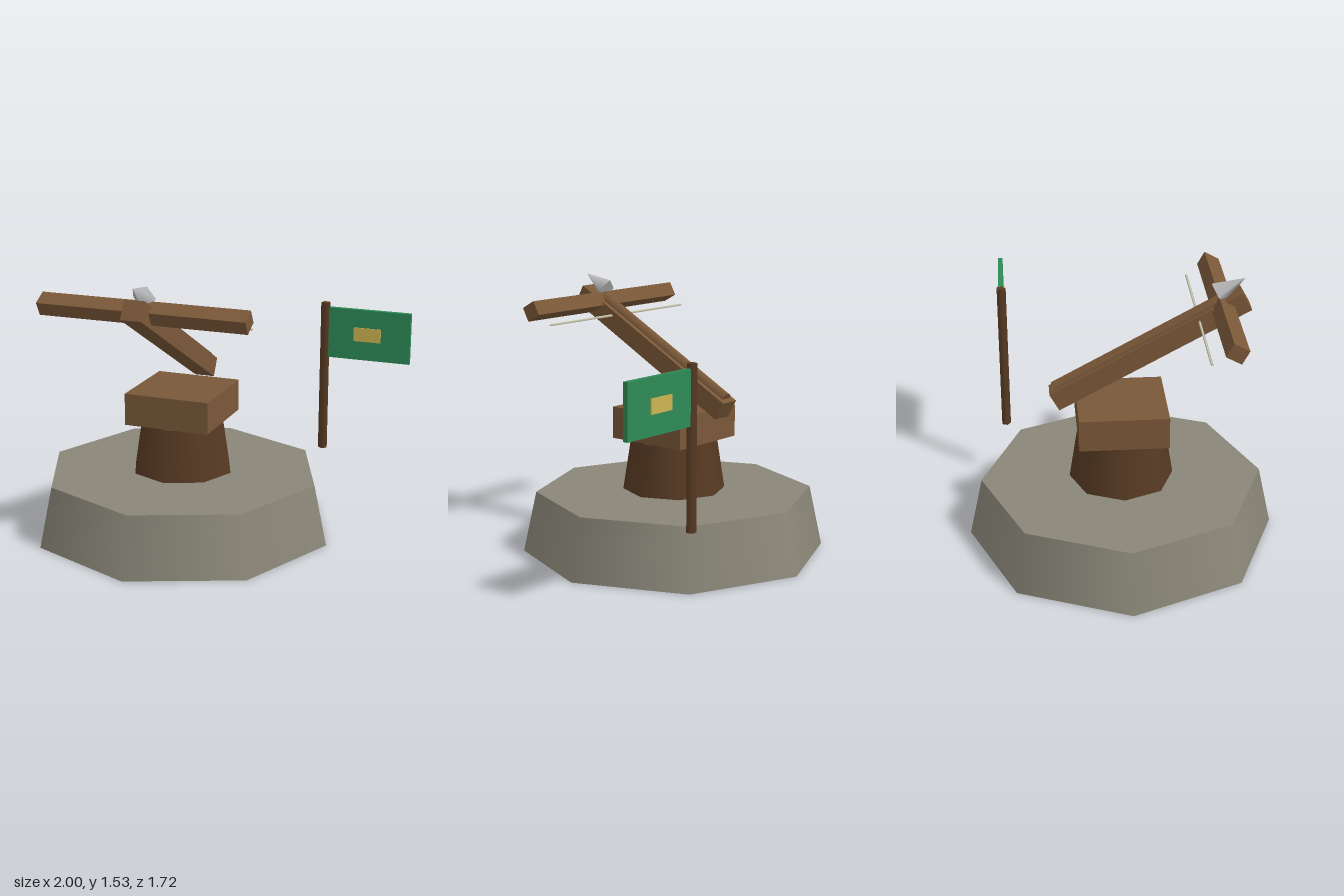
import * as THREE from 'three';

const mat = (name, color) => {
  const m = new THREE.MeshStandardMaterial({ color });
  m.name = name;
  return m;
};

export function createModel() {
  const stone = mat('stone', 0x8a8678);
  const wood = mat('wood', 0x7a5838);
  const darkWood = mat('dark wood', 0x573a23);
  const metal = mat('metal', 0xb8b8ba);
  const cord = mat('cord', 0xd8d4bc);
  const green = mat('flag green', 0x2e8b57);
  const gold = mat('gold', 0xcdb552);

  const model = new THREE.Group();
  model.name = 'ballistaTower';
  const add = (parent, name, geometry, material, x, y, z) => {
    const mesh = new THREE.Mesh(geometry, material);
    mesh.name = name;
    mesh.position.set(x, y, z);
    parent.add(mesh);
    return mesh;
  };
  const box = (w, h, d) => new THREE.BoxGeometry(w, h, d);
  const cyl = (top, bottom, h, sides) => new THREE.CylinderGeometry(top, bottom, h, sides);

  const cx = -0.14; // tower axis
  const tilt = 0.5; // elevation of the weapon

  // Stone platform, pedestal and turntable
  add(model, 'platform', cyl(0.785, 0.86, 0.345, 8), stone, cx, 0.1725, 0);
  add(model, 'pedestal', cyl(0.245, 0.29, 0.29, 8), darkWood, cx, 0.5, 0);
  add(model, 'turntable', box(0.49, 0.18, 0.49), wood, cx, 0.741, 0);

  // Tilted stock carrying the bolt
  const weapon = new THREE.Group();
  weapon.name = 'weapon';
  weapon.position.set(cx, 1.1365, 0.15);
  weapon.rotation.x = -tilt;
  model.add(weapon);
  add(weapon, 'stock', box(0.116, 0.11, 1.18), wood, 0, 0, 0);
  add(weapon, 'boltShaft', cyl(0.037, 0.037, 1.04, 6), wood, 0, 0.055, -0.039).rotation.x = Math.PI / 2;
  add(weapon, 'boltHead', new THREE.ConeGeometry(0.064, 0.172, 4), metal, 0, 0.102, 0.553).rotation.x = Math.PI / 2;

  // Bow beam and string
  add(model, 'bow', box(1.175, 0.083, 0.093), wood, cx, 1.38, 0.54).rotation.x = tilt;
  const stringGeo = cyl(0.008, 0.008, 1.125, 3).rotateZ(Math.PI / 2).rotateX(-Math.PI / 2);
  add(model, 'bowString', stringGeo, cord, cx, 1.312, 0.415);

  // Flag on its pole
  add(model, 'flagPole', cyl(0.0285, 0.0285, 0.88, 5), darkWood, 0.497, 0.79, -0.64);
  add(model, 'flag', box(0.48, 0.295, 0.028), green, 0.76, 1.057, -0.64);
  for (const side of [1, -1]) {
    add(model, 'flagEmblem', box(0.16, 0.08, 0.006), gold, 0.75, 1.06, -0.64 + side * 0.017);
  }
  return model;
}
